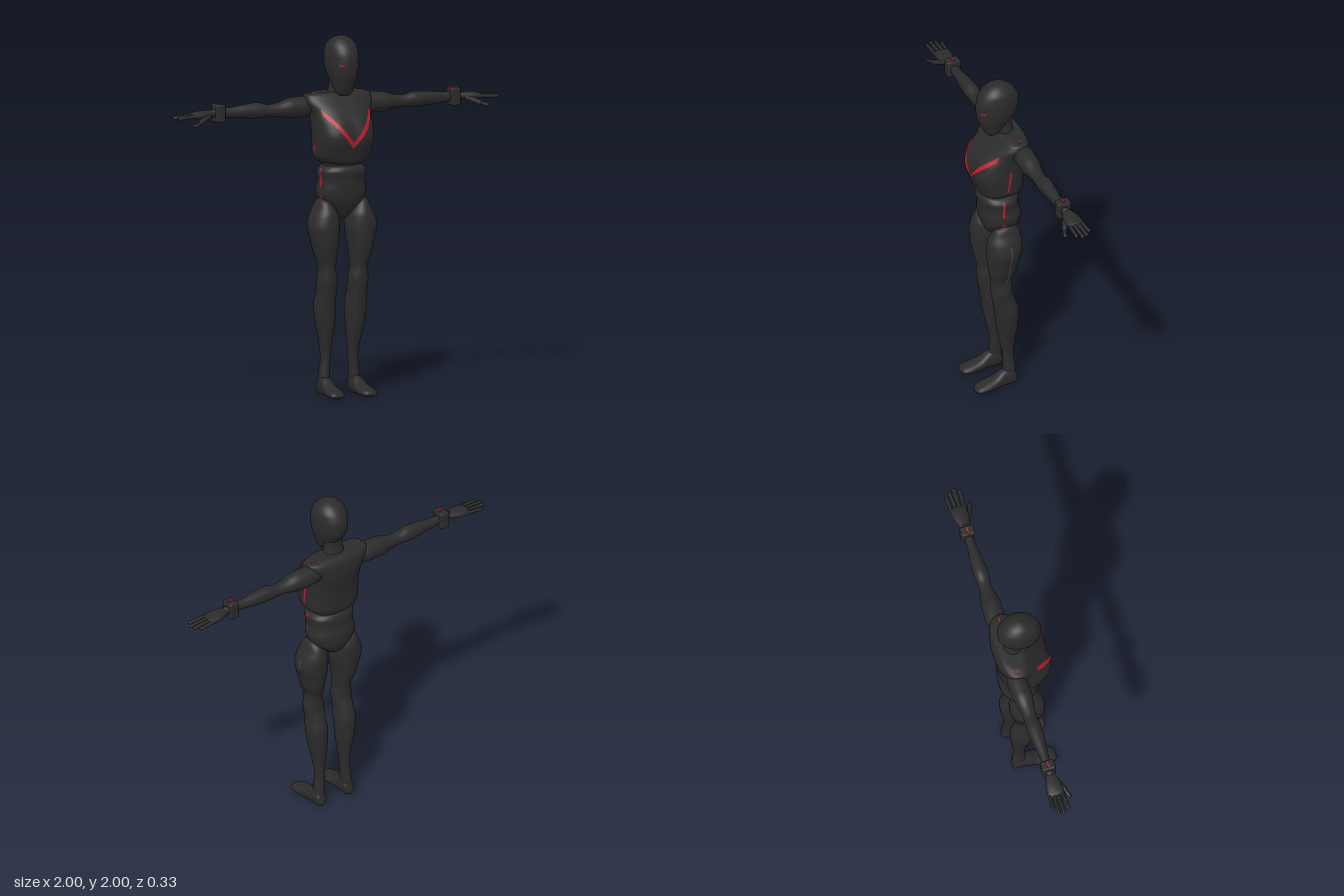
import * as THREE from 'three';
import { RoundedBoxGeometry } from 'three/addons/geometries/RoundedBoxGeometry.js';

const suit = new THREE.MeshStandardMaterial({ color: 0x2b2b2b });
suit.name = 'charcoal suit';
const red = new THREE.MeshStandardMaterial({ color: 0xb81c2e, side: THREE.DoubleSide });
red.name = 'red trim';
const seam = new THREE.MeshStandardMaterial({ color: 0x4c4c4c, side: THREE.DoubleSide });
seam.name = 'grey seam';

// Cross-section rows are [t, uMin, uMax, vMin, vMax]; t runs along the part.
// Smooth interpolation between rows without overshoot.
function sectionAt(rows, t) {
  let i = 0;
  while (i < rows.length - 2 && t > rows[i + 1][0]) i++;
  const h = rows[i + 1][0] - rows[i][0], f = (t - rows[i][0]) / h;
  const secant = (k, c) => (rows[k + 1][c] - rows[k][c]) / (rows[k + 1][0] - rows[k][0]);
  const slope = (k, c) => {
    if (k === 0) return secant(0, c);
    if (k === rows.length - 1) return secant(k - 1, c);
    const p = secant(k - 1, c), q = secant(k, c);
    return p * q <= 0 ? 0 : (2 * p * q) / (p + q);
  };
  const at = (c) => {
    const f2 = f * f, f3 = f2 * f;
    return (2 * f3 - 3 * f2 + 1) * rows[i][c] + (f3 - 2 * f2 + f) * h * slope(i, c)
      + (3 * f2 - 2 * f3) * rows[i + 1][c] + (f3 - f2) * h * slope(i + 1, c);
  };
  const [u0, u1, v0, v1] = [1, 2, 3, 4].map(at);
  return { u: (u0 + u1) / 2, v: (v0 + v1) / 2, a: (u1 - u0) / 2, b: (v1 - v0) / 2 };
}

const place = {
  x: (t, u, v) => new THREE.Vector3(t, v, u),
  y: (t, u, v) => new THREE.Vector3(u, t, v),
  z: (t, u, v) => new THREE.Vector3(v, u, t),
};

// Closed skin through superellipse sections
function loft(rows, axis = 'y', n = 2, warp = (p) => p, sides = 36, steps = 5) {
  const ts = [];
  for (let i = 0; i < rows.length - 1; i++)
    for (let k = 0; k < steps; k++) ts.push(THREE.MathUtils.lerp(rows[i][0], rows[i + 1][0], k / steps));
  ts.push(rows[rows.length - 1][0]);
  const pos = [], idx = [];
  const power = (x) => Math.sign(x) * Math.abs(x) ** (2 / n);
  const push = (p) => pos.push(p.x, p.y, p.z);
  for (const t of ts) {
    const s = sectionAt(rows, t);
    for (let j = 0; j < sides; j++) {
      const w = (j / sides) * Math.PI * 2;
      push(warp(place[axis](t, s.u + s.a * power(Math.cos(w)), s.v + s.b * power(Math.sin(w)))));
    }
  }
  const last = ts.length - 1, low = ts.length * sides;
  for (const t of [ts[0], ts[last]]) {
    const s = sectionAt(rows, t);
    push(place[axis](t, s.u, s.v));
  }
  for (let j = 0; j < sides; j++) {
    const k = (j + 1) % sides;
    for (let i = 0; i < last; i++) {
      const a = i * sides + j, b = i * sides + k, c = a + sides, d = b + sides;
      idx.push(a, c, b, b, c, d);
    }
    idx.push(low, j, k, low + 1, last * sides + k, last * sides + j);
  }
  return build(pos, idx);
}

function build(pos, idx) {
  const g = new THREE.BufferGeometry();
  g.setAttribute('position', new THREE.Float32BufferAttribute(pos, 3));
  g.setIndex(idx);
  g.computeVertexNormals();
  return g;
}

// Thin strip; edge(f) returns the two border points at f in 0..1
function ribbon(edge, count = 40) {
  const pos = [], idx = [];
  for (let i = 0; i <= count; i++) {
    for (const p of edge(i / count)) pos.push(p.x, p.y, p.z);
    if (i) idx.push(2 * i - 2, 2 * i - 1, 2 * i, 2 * i, 2 * i - 1, 2 * i + 1);
  }
  return build(pos, idx);
}

// Strip lying on the outer (+x) side of a vertical part
function sideStripe(rows, n, y0, y1, z0, z1, width) {
  return ribbon((f) => {
    const y = THREE.MathUtils.lerp(y0, y1, f), s = sectionAt(rows, y);
    return [1, -1].map((e) => {
      const z = THREE.MathUtils.lerp(z0, z1, f) + (e * width) / 2;
      return new THREE.Vector3(s.u + s.a * (1 - Math.abs((z - s.v) / s.b) ** n) ** (1 / n) + 0.003, y, z);
    });
  });
}

function mirrored(geometry) {
  const g = geometry.clone().scale(-1, 1, 1), a = g.index.array;
  for (let i = 0; i < a.length; i += 3) [a[i], a[i + 1]] = [a[i + 1], a[i]];
  g.computeVertexNormals();
  return g;
}

// Rounded finger segment between two points
function digit(from, to, radius) {
  const a = new THREE.Vector3(...from), b = new THREE.Vector3(...to), dir = b.clone().sub(a);
  const g = new THREE.CapsuleGeometry(radius, dir.length(), 5, 12);
  g.applyQuaternion(new THREE.Quaternion().setFromUnitVectors(new THREE.Vector3(0, 1, 0), dir.normalize()));
  return g.translate(...a.add(b).multiplyScalar(0.5).toArray());
}

const sym = (y, x, z0, z1) => [y, -x, x, z0, z1];
const HEAD = [sym(1.67, 0.03, 0.005, 0.05), sym(1.69, 0.048, -0.02, 0.063), sym(1.73, 0.06, -0.065, 0.083),
  sym(1.78, 0.077, -0.108, 0.103), sym(1.84, 0.087, -0.134, 0.11), sym(1.89, 0.089, -0.138, 0.106),
  sym(1.94, 0.083, -0.118, 0.085), sym(1.975, 0.06, -0.083, 0.052), sym(1.992, 0.035, -0.05, 0.022), sym(2, 0.006, -0.02, -0.008)];
const NECK = [sym(1.64, 0.075, -0.125, 0.01), sym(1.68, 0.062, -0.105, 0), sym(1.73, 0.056, -0.095, 0), sym(1.8, 0.056, -0.09, 0.01)];
const CHEST = [sym(1.293, 0.08, -0.1, 0.08), sym(1.305, 0.13, -0.127, 0.107), sym(1.35, 0.161, -0.14, 0.125),
  sym(1.45, 0.166, -0.145, 0.157), sym(1.52, 0.166, -0.155, 0.135), sym(1.58, 0.172, -0.163, 0.085),
  sym(1.64, 0.2, -0.158, 0.03), sym(1.67, 0.193, -0.145, 0.003), sym(1.684, 0.14, -0.125, -0.015)];
const PELVIS = [sym(0.985, 0.02, -0.04, 0.02), sym(1.03, 0.06, -0.105, 0.06), sym(1.09, 0.125, -0.13, 0.083),
  sym(1.14, 0.142, -0.133, 0.09), sym(1.2, 0.132, -0.122, 0.093), sym(1.25, 0.138, -0.12, 0.1),
  sym(1.277, 0.118, -0.11, 0.09), sym(1.288, 0.08, -0.09, 0.07)];
const LEG = [[0.04, 0.065, 0.125, -0.08, 0], [0.1, 0.062, 0.122, -0.08, -0.008], [0.2, 0.058, 0.112, -0.072, -0.008],
  [0.3, 0.05, 0.122, -0.08, 0.012], [0.4, 0.04, 0.143, -0.092, 0.03], [0.5, 0.035, 0.155, -0.095, 0.042],
  [0.58, 0.04, 0.148, -0.075, 0.055], [0.65, 0.039, 0.151, -0.055, 0.064], [0.71, 0.05, 0.142, -0.055, 0.065],
  [0.8, 0.045, 0.168, -0.08, 0.083], [0.88, 0.032, 0.188, -0.095, 0.093], [0.94, 0.027, 0.202, -0.103, 0.095],
  [1, 0.032, 0.188, -0.105, 0.09], [1.05, 0.055, 0.163, -0.095, 0.07], [1.085, 0.08, 0.148, -0.07, 0.045], [1.1, 0.1, 0.13, -0.04, 0.01]];
const FOOT = [[-0.086, 0.02, 0.04, 0.08, 0.11], [-0.075, 0.006, 0.08, 0.065, 0.125], [-0.04, 0, 0.11, 0.06, 0.128],
  [0, 0.004, 0.1, 0.058, 0.132], [0.05, 0.004, 0.068, 0.052, 0.14], [0.11, 0.001, 0.05, 0.05, 0.146],
  [0.15, 0.003, 0.038, 0.06, 0.142], [0.165, 0.012, 0.026, 0.08, 0.125]];
const ARM = [[0.14, -0.135, -0.03, 1.56, 1.655], [0.2, -0.142, -0.028, 1.55, 1.663], [0.28, -0.138, -0.028, 1.547, 1.66],
  [0.36, -0.122, -0.04, 1.562, 1.637], [0.41, -0.117, -0.043, 1.564, 1.632], [0.48, -0.122, -0.038, 1.56, 1.647],
  [0.56, -0.116, -0.044, 1.565, 1.642], [0.65, -0.105, -0.053, 1.573, 1.632], [0.77, -0.103, -0.055, 1.582, 1.627]];
const PALM = [[0.745, -0.1, -0.058, 1.588, 1.622], [0.78, -0.112, -0.048, 1.582, 1.625], [0.83, -0.128, -0.036, 1.578, 1.623],
  [0.875, -0.13, -0.035, 1.582, 1.615], [0.89, -0.115, -0.05, 1.59, 1.607]];

// Shallow valley down the middle of the chest
const valley = (p) => {
  if (p.z > 0) p.z -= 0.016 * Math.exp(-((p.x / 0.045) ** 2)) * Math.exp(-(((p.y - 1.47) / 0.08) ** 2));
  return p;
};

export function createModel() {
  const model = new THREE.Group();
  model.name = 'figure';
  const add = (name, geometry, material = suit) => {
    const mesh = new THREE.Mesh(geometry, material);
    mesh.name = name;
    model.add(mesh);
  };
  const pair = (name, geometry, material) => {
    add('left ' + name, geometry, material);
    add('right ' + name, mirrored(geometry), material);
  };

  // Body core
  add('head', loft(HEAD, 'y', 2.1));
  add('neck', loft(NECK));
  add('chest', loft(CHEST, 'y', 2.6, valley, 64));
  add('waist', loft([sym(1.26, 0.1, -0.1, 0.08), sym(1.32, 0.1, -0.1, 0.08)]));
  add('pelvis', loft(PELVIS, 'y', 2.3));

  // Limbs
  pair('leg', loft(LEG, 'y', 2.1));
  pair('foot', loft(FOOT, 'z', 2.3));
  pair('arm', loft(ARM, 'x'));
  pair('palm', loft(PALM, 'x', 2.3));
  [[-0.118, -0.125, 0.955], [-0.095, -0.099, 0.982], [-0.071, -0.072, 0.99], [-0.047, -0.043, 0.972]].forEach(([z0, z1, tip], i) =>
    pair('finger ' + (i + 1), digit([0.86, 1.6, z0], [tip, 1.594, z1], 0.0105)));
  pair('thumb base', digit([0.79, 1.596, -0.058], [0.855, 1.566, -0.025], 0.015));
  pair('thumb tip', digit([0.855, 1.566, -0.025], [0.895, 1.553, -0.01], 0.011));

  // Wrist cuffs
  const cuff = new RoundedBoxGeometry(0.056, 0.1, 0.078, 3, 0.01).translate(0.721, 1.605, -0.079);
  add('left cuff', cuff);
  add('right cuff', cuff.clone().translate(-1.442, 0, 0));
  pair('cuff light', new THREE.BoxGeometry(0.04, 0.006, 0.01).translate(0.72, 1.657, -0.079), red);

  // Chevron laid on the chest
  add('chest chevron', ribbon((f) => {
    const x = (f - 0.5) * 0.296;
    return [1, -1].map((e) => {
      const y = 1.405 + 1.22 * Math.abs(x) + e * 0.018, s = sectionAt(CHEST, y);
      const z = s.v + s.b * (1 - Math.abs(x / s.a) ** 2.6) ** (1 / 2.6);
      const p = valley(new THREE.Vector3(x, y, z));
      p.z += 0.005;
      return p;
    });
  }, 80), red);

  // Eyes, shoulder marks and side trim
  pair('eye', ribbon((f) => [1, -1].map((e) => {
    const x = 0.038 + 0.022 * f, y = 1.842 + 0.004 * f + e * 0.004, s = sectionAt(HEAD, y);
    return new THREE.Vector3(x, y, s.v + s.b * (1 - (x / s.a) ** 2.1) ** (1 / 2.1) + 0.003);
  }), 8), red);
  pair('shoulder mark', new THREE.BoxGeometry(0.024, 0.006, 0.008).translate(0.16, 1.679, -0.076), red);
  pair('chest side stripe', sideStripe(CHEST, 2.6, 1.36, 1.49, -0.005, -0.022, 0.012), red);
  pair('hip side stripe', sideStripe(PELVIS, 2.3, 1.17, 1.27, 0.006, 0.006, 0.012), red);
  pair('hip side mark', sideStripe(PELVIS, 2.3, 1.1, 1.125, 0.006, 0.006, 0.012), red);
  pair('thigh seam', sideStripe(LEG, 2.1, 0.72, 1.0, -0.008, -0.012, 0.006), seam);
  return model;
}
